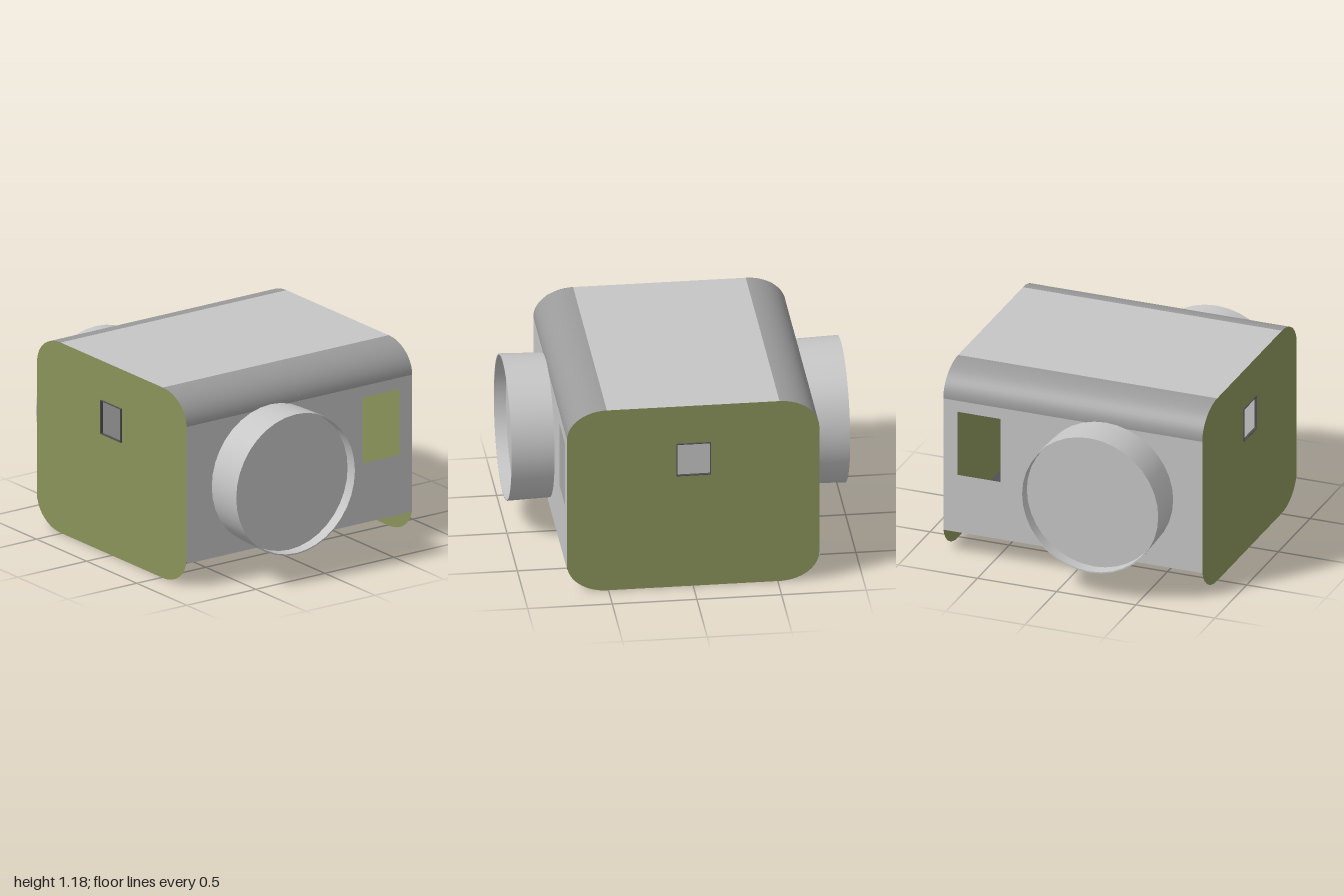
import * as THREE from 'three';

const mat = (name, color) => {
  const m = new THREE.MeshStandardMaterial({ color, side: THREE.DoubleSide });
  m.name = name;
  return m;
};

export function createModel() {
  const group = new THREE.Group();
  const lightGrey = mat('light grey', 0xc6c6c6);
  const midGrey = mat('mid grey', 0x9a9a9a);
  const darkGrey = mat('dark grey', 0x505050);
  const green = mat('olive green', 0x8a935a);

  const W = 0.745, TOP = 1.178, FLOOR = 0.15, Z = 0.818; // half width, roof, floor, half length
  const RX = 0.235, RY = 0.18;                          // corner radii

  const add = (name, geometry, material, parent = group) => {
    const mesh = new THREE.Mesh(geometry, material);
    mesh.name = name;
    parent.add(mesh);
    return mesh;
  };

  const rect = (path, x0, y0, x1, y1) => {
    path.moveTo(x0, y0);
    path.lineTo(x1, y0);
    path.lineTo(x1, y1);
    path.lineTo(x0, y1);
    path.closePath();
    return path;
  };

  // Rounded bulkhead outline with the small square window
  const bulkhead = new THREE.Shape();
  bulkhead.moveTo(-W + RX, 0);
  bulkhead.lineTo(W - RX, 0);
  bulkhead.absellipse(W - RX, RY, RX, RY, -Math.PI / 2, 0, false);
  bulkhead.lineTo(W, TOP - RY);
  bulkhead.absellipse(W - RX, TOP - RY, RX, RY, 0, Math.PI / 2, false);
  bulkhead.lineTo(-W + RX, TOP);
  bulkhead.absellipse(-W + RX, TOP - RY, RX, RY, Math.PI / 2, Math.PI, false);
  bulkhead.lineTo(-W, RY);
  bulkhead.absellipse(-W + RX, RY, RX, RY, Math.PI, Math.PI * 1.5, false);
  bulkhead.holes.push(rect(new THREE.Path(), -0.105, 0.725, 0.1, 0.935));

  const plates = [['frontPlate', Z, green], ['divider', 0, lightGrey], ['backPlate', -Z, green]];
  for (const [name, z, material] of plates) {
    add(name, new THREE.ShapeGeometry(bulkhead, 12), material).position.z = z;
  }

  // Thin window frames in the end plates
  const frame = rect(new THREE.Shape(), -0.105, 0.725, 0.1, 0.935);
  frame.holes.push(rect(new THREE.Path(), -0.1, 0.73, 0.095, 0.93));
  for (const s of [1, -1]) {
    const geometry = new THREE.ExtrudeGeometry(frame, { depth: 0.016, bevelEnabled: false });
    add('windowFrame', geometry, darkGrey).position.z = s * Z - 0.008;
  }

  // Roof and floor panels
  add('roof', new THREE.PlaneGeometry(2 * (W - RX), 2 * Z).rotateX(-Math.PI / 2), lightGrey).position.y = TOP;
  add('floor', new THREE.PlaneGeometry(2 * W, 2 * Z).rotateX(Math.PI / 2), darkGrey).position.y = FLOOR;

  // Side wall with rear window, drawn along -z
  const wall = rect(new THREE.Shape(), -Z, FLOOR, Z, TOP - RY);
  wall.holes.push(rect(new THREE.Path(), 0.457, 0.52, 0.727, 0.927));

  for (const s of [1, -1]) {
    const side = s > 0 ? 'left' : 'right';
    add(side + 'Wall', new THREE.ShapeGeometry(wall).rotateY(Math.PI / 2), lightGrey).position.x = s * W;

    // Curved roof edge
    const edge = new THREE.CylinderGeometry(1, 1, 2 * Z, 12, 1, true, s > 0 ? 0 : -Math.PI / 2, Math.PI / 2);
    edge.rotateX(-Math.PI / 2).scale(RX, RY, 1);
    add(side + 'RoofEdge', edge, midGrey).position.set(s * (W - RX), TOP - RY, 0);

    // Round port: slightly flared collar, lip and recessed cover, axis along x
    const port = new THREE.Group();
    port.name = side + 'Port';
    port.position.set(s * W, 0.592, 0.208);
    port.rotation.z = -s * Math.PI / 2;
    group.add(port);
    const length = 1 - W;
    add('collar', new THREE.CylinderGeometry(0.434, 0.426, length, 36, 1, true), lightGrey, port).position.y = length / 2;
    add('innerCollar', new THREE.CylinderGeometry(0.426, 0.424, 0.07, 36, 1, true), lightGrey, port).position.y = length - 0.035;
    add('lip', new THREE.RingGeometry(0.426, 0.434, 36).rotateX(-Math.PI / 2), lightGrey, port).position.y = length;
    add('cover', new THREE.CircleGeometry(0.425, 36).rotateX(-Math.PI / 2), lightGrey, port).position.y = length - 0.07;
  }

  return group;
}
